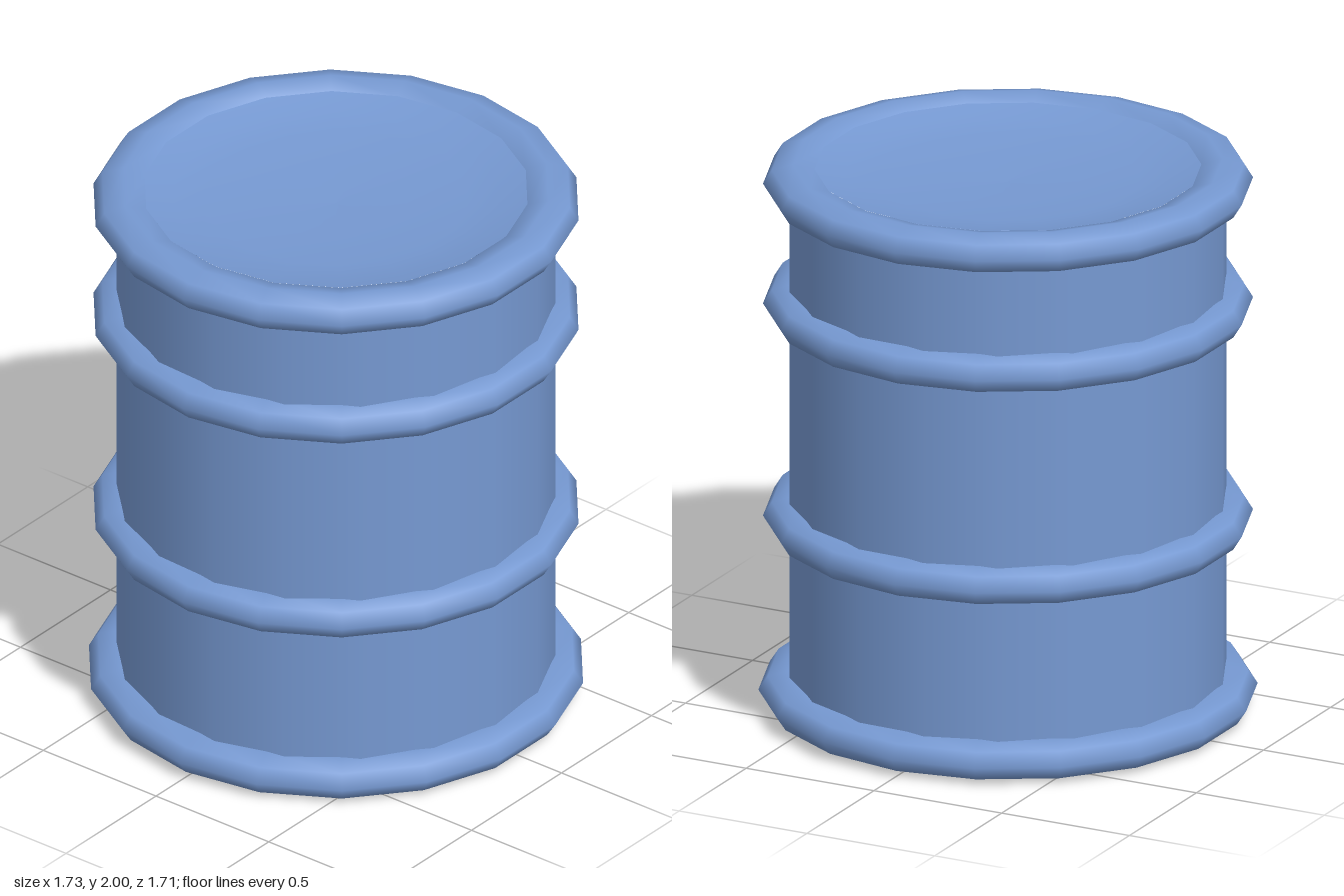
import * as THREE from 'three';

const SIDES = 18;
const paint = new THREE.MeshStandardMaterial({ color: 0x7699d2 });

// Revolve a profile of [radius, height] pairs about the y axis; turn rotates the first corner away from +x
function revolve(name, profile, turn = 0) {
  const points = profile.map(([r, y]) => new THREE.Vector2(r, y));
  const start = Math.PI / 2 + THREE.MathUtils.degToRad(turn);
  const mesh = new THREE.Mesh(new THREE.LatheGeometry(points, SIDES, start), paint);
  mesh.name = name;
  return mesh;
}

// Eight-sided oval bead, with its profile seam on the inner side
function hoop(name, y, radius, halfWidth) {
  const profile = [];
  for (let i = 0; i <= 8; i++) {
    const a = Math.PI + (i / 8) * Math.PI * 2;
    profile.push([radius + halfWidth * Math.cos(a), y + 0.07 * Math.sin(a)]);
  }
  return revolve(name, profile);
}

export function createModel() {
  const barrel = new THREE.Group();
  barrel.name = 'barrel';

  // Straight wall, its corners turned slightly against the hoops
  barrel.add(revolve('wall', [[0.763, 0.07], [0.763, 1.93]], 5));

  // Rims and the two rolling hoops
  barrel.add(
    hoop('bottomRim', 0.07, 0.755, 0.111),
    hoop('lowerHoop', 0.71, 0.745, 0.105),
    hoop('upperHoop', 1.49, 0.745, 0.105),
    hoop('topRim', 1.93, 0.745, 0.105)
  );

  // Shallow dished lid and flat base, joined to the inner corners of the rims
  barrel.add(
    revolve('lid', [[0.671, 1.98], [0.57, 1.957], [0.46, 1.943], [0.25, 1.93], [0, 1.925]]),
    revolve('base', [[0, 0.02], [0.677, 0.02]])
  );

  return barrel;
}
